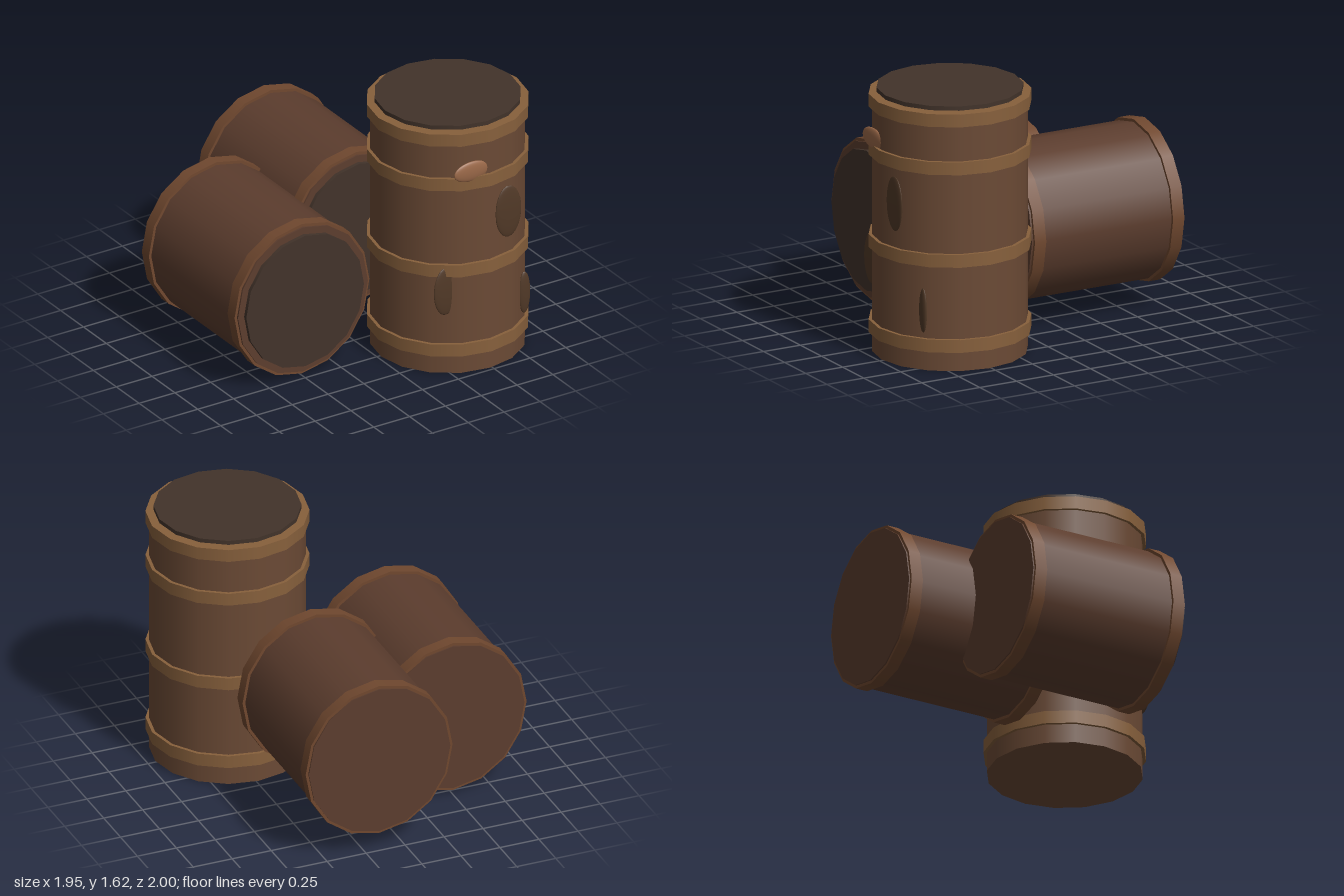
import * as THREE from 'three';

const SIDES = 16;

function mat(color) {
  return new THREE.MeshStandardMaterial({ color, roughness: 0.9 });
}

// Cylinder standing from y0 to y1
function drum(name, radius, y0, y1, material) {
  const mesh = new THREE.Mesh(new THREE.CylinderGeometry(radius, radius, y1 - y0, SIDES), material);
  mesh.position.y = (y0 + y1) / 2;
  mesh.name = name;
  return mesh;
}

export function createModel() {
  const model = new THREE.Group();
  model.name = 'barrelStack';

  const wood = mat(0x6b4a35);
  const band = mat(0x87603c);
  const darkWood = mat(0x5c3d2e);
  const darkBand = mat(0x70482f);
  const lid = mat(0x42332a);
  const knotDark = mat(0x513927);
  const knotLight = mat(0x9a6848);

  // Upright barrel with four hoops and a lid hovering just above the rim
  const upright = new THREE.Group();
  upright.name = 'uprightBarrel';
  upright.position.set(0.485, 0, 0.514);
  upright.add(drum('uprightBody', 0.463, 0, 1.58, wood));
  for (const y of [0.118, 0.643, 1.213, 1.508]) {
    upright.add(drum('hoop', 0.483, y, y + 0.079, band));
  }
  upright.add(drum('uprightLid', 0.436, 1.597, 1.623, lid));
  model.add(upright);

  // Two barrels lying along z, slightly narrowed, lids facing forward
  const lying = [
    ['leftLyingBarrel', -0.508, 0.516, -0.545],
    ['backLyingBarrel', 0.163, 0.608, -1.0],
  ];
  for (const [name, x, y, zBack] of lying) {
    const barrel = new THREE.Group();
    barrel.name = name;
    barrel.add(drum('lyingBody', 0.477, 0, 1.033, darkWood));
    barrel.add(drum('backRim', 0.495, 0.008, 0.085, darkBand));
    barrel.add(drum('frontRim', 0.495, 0.945, 1.022, darkBand));
    barrel.add(drum('lyingLid', 0.432, 1.02, 1.057, lid));
    barrel.rotation.x = Math.PI / 2;
    barrel.scale.x = 0.951;
    barrel.position.set(x, y, zBack);
    model.add(barrel);
  }

  // Flattened knots on the front of the upright barrel: centre, radii, material
  const knots = [
    [0.62, 0.997, 0.967, 0.09, 0.168, 0.014, knotDark],
    [0.792, 0.37, 0.872, 0.04, 0.136, 0.015, knotDark],
    [0.228, 0.545, 0.898, 0.084, 0.156, 0.015, knotDark],
    [0.365, 1.33, 0.965, 0.122, 0.064, 0.017, knotLight],
  ];
  for (const [x, y, z, rx, ry, rz, material] of knots) {
    const knot = new THREE.Mesh(new THREE.SphereGeometry(1, 24, 16), material);
    knot.name = 'knot';
    knot.position.set(x, y, z);
    knot.scale.set(rx, ry, rz);
    model.add(knot);
  }

  return model;
}
